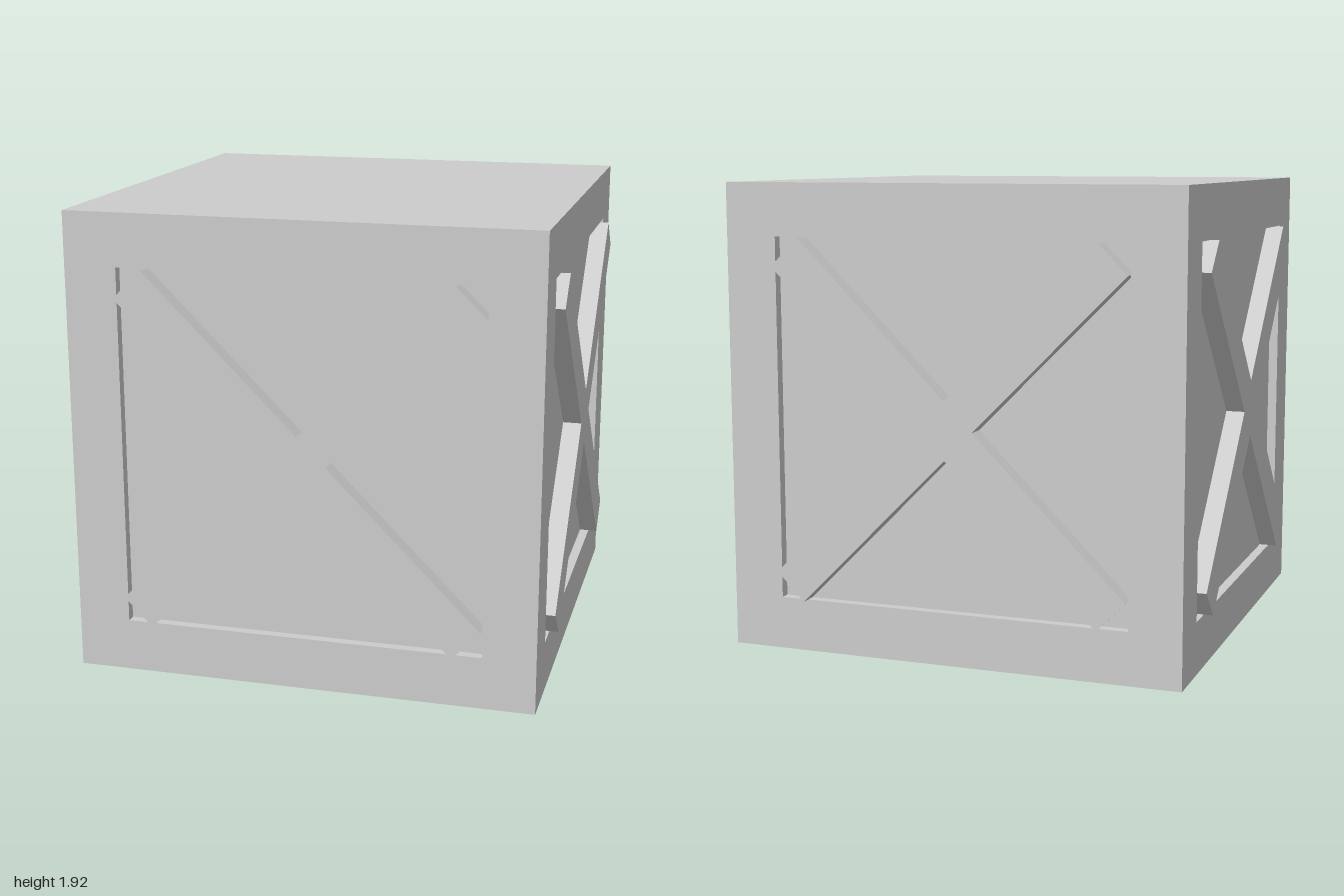
import * as THREE from 'three';
import { mergeGeometries } from 'three/addons/utils/BufferGeometryUtils.js';

const HALF = 0.962;   // half edge of the crate
const OPEN = 0.745;   // half width of the recessed panel
const INNER = 0.922;  // distance of the panel from the centre
const ARM = 0.118;    // half width of a brace arm, measured along the axes

function square(Type, s) {
  return new Type([[-s, -s], [s, -s], [s, s], [-s, s]].map(([x, y]) => new THREE.Vector2(x, y)));
}

// Border, reveal and sunken panel of one side, facing +z
function sideGeometries() {
  const border = square(THREE.Shape, HALF);
  border.holes.push(square(THREE.Path, OPEN));
  const parts = [
    new THREE.ShapeGeometry(border).translate(0, 0, HALF),
    new THREE.PlaneGeometry(2 * OPEN, 2 * OPEN).translate(0, 0, INNER),
  ];
  for (let i = 0; i < 4; i++) {
    parts.push(new THREE.PlaneGeometry(2 * OPEN, HALF - INNER)
      .rotateX(-Math.PI / 2)
      .translate(0, -OPEN, (HALF + INNER) / 2)
      .rotateZ(i * Math.PI / 2));
  }
  return parts;
}

// X-shaped brace with squared arm ends
function braceGeometry() {
  const points = [];
  for (let i = 0; i < 4; i++) {
    for (const [x, y] of [[ARM, 0], [OPEN, OPEN - ARM], [OPEN - ARM, OPEN]]) {
      points.push(new THREE.Vector2(x, y).rotateAround(new THREE.Vector2(), i * Math.PI / 2));
    }
  }
  return new THREE.ExtrudeGeometry(new THREE.Shape(points), { depth: 1 - INNER, bevelEnabled: false })
    .translate(0, 0, INNER);
}

export function createModel() {
  const model = new THREE.Group();
  model.name = 'crate';
  const grey = new THREE.MeshStandardMaterial({ color: 0xcccccc });
  grey.name = 'light grey';

  // Crate shell: four recessed sides, flat lid and base
  const shell = [];
  for (let i = 0; i < 4; i++) {
    for (const g of sideGeometries()) shell.push(g.rotateY(i * Math.PI / 2));
  }
  for (const dir of [-1, 1]) {
    shell.push(new THREE.PlaneGeometry(2 * HALF, 2 * HALF)
      .translate(0, 0, HALF)
      .rotateX(dir * Math.PI / 2));
  }
  const body = new THREE.Mesh(mergeGeometries(shell), grey);
  body.name = 'crateBody';
  body.position.y = HALF;
  model.add(body);

  // Cross braces
  const braceShape = braceGeometry();
  ['front', 'left', 'back', 'right'].forEach((side, i) => {
    const brace = new THREE.Mesh(braceShape, grey);
    brace.name = side + 'CrossBrace';
    brace.position.y = HALF;
    brace.rotation.y = i * Math.PI / 2;
    model.add(brace);
  });
  return model;
}
